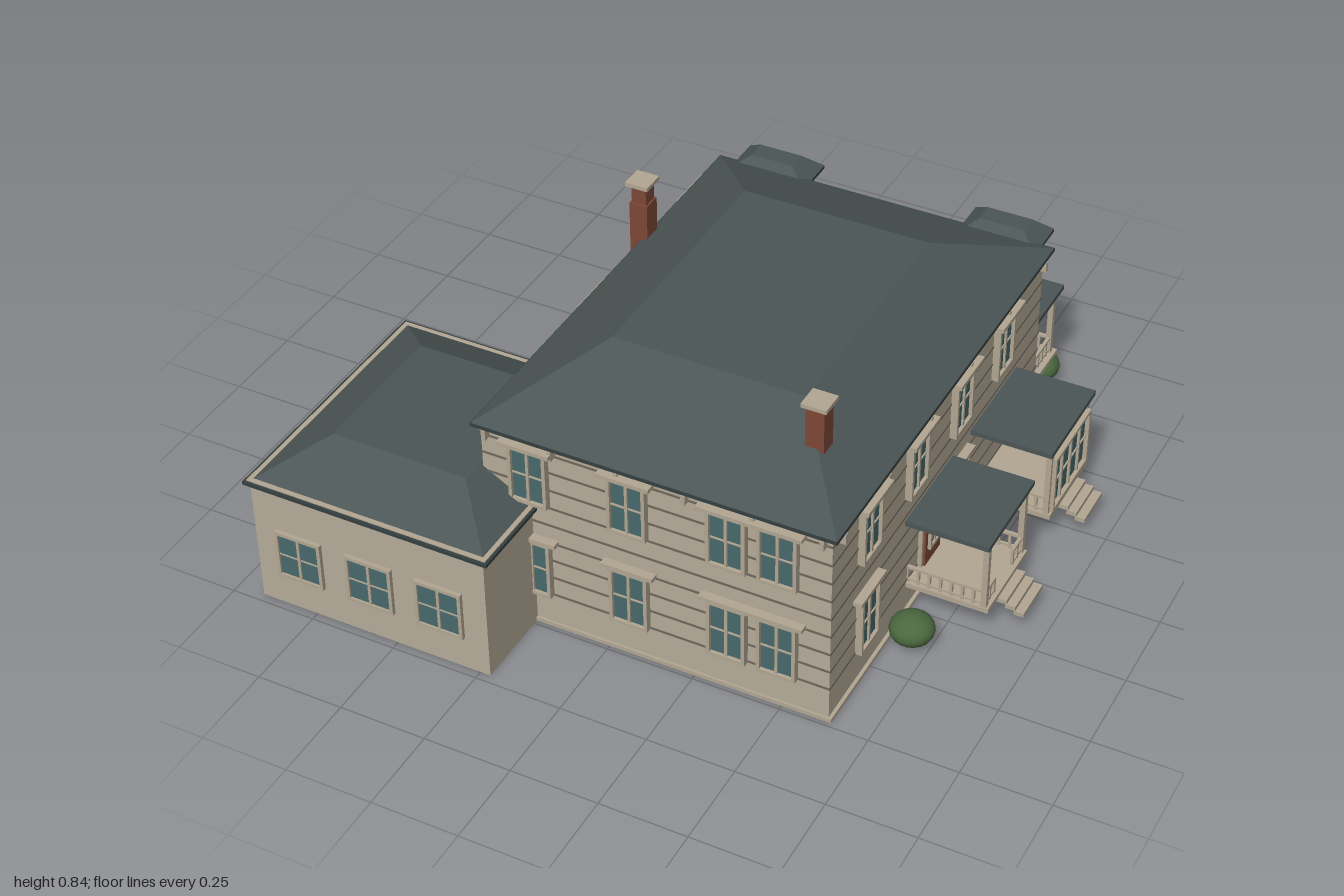
import * as THREE from 'three';

const mat = (name, color) => {
  const m = new THREE.MeshStandardMaterial({ color });
  m.name = name;
  return m;
};

export function createModel() {
  const house = new THREE.Group();
  house.name = 'house';
  const wall = mat('wall', 0xb5ab98), trim = mat('trim', 0xb3a793), seam = mat('boardSeam', 0x6e675a);
  const roof = mat('roof', 0x4c5656), edge = mat('eave', 0x364041), glass = mat('glass', 0x47696b);
  const brick = mat('brick', 0x7d4837), leaf = mat('leaf', 0x4a683f);

  const add = (parent, name, geo, m) => {
    const mesh = new THREE.Mesh(geo, m);
    mesh.name = name;
    parent.add(mesh);
    return mesh;
  };
  // Box given by its min and max corners
  const box = (parent, name, m, x0, x1, y0, y1, z0, z1) => {
    const b = add(parent, name, new THREE.BoxGeometry(x1 - x0, y1 - y0, z1 - z0), m);
    b.position.set((x0 + x1) / 2, (y0 + y1) / 2, (z0 + z1) / 2);
    return b;
  };
  const group = (name, x, y, z, turn = 0, parent = house) => {
    const g = new THREE.Group();
    g.name = name;
    g.position.set(x, y, z);
    g.rotation.y = turn;
    parent.add(g);
    return g;
  };
  // Hipped roof: a box whose top face is pulled in to a smaller rectangle
  const hip = (parent, name, [x0, x1, z0, z1], [a0, a1, c0, c1], y0, y1) => {
    const geo = new THREE.BoxGeometry(1, 1, 1), p = geo.attributes.position;
    for (let i = 0; i < p.count; i++) {
      const up = p.getY(i) > 0, r = p.getX(i) > 0, f = p.getZ(i) > 0;
      p.setXYZ(i, up ? (r ? a1 : a0) : (r ? x1 : x0), up ? y1 : y0, up ? (f ? c1 : c0) : (f ? z1 : z0));
    }
    geo.computeVertexNormals();
    return add(parent, name, geo, roof);
  };
  // Window facing local +z: frame bars, glass, muntins, sill and hood
  const win = (x, y, z, turn, w = 0.11, h = 0.18, { cols = 2, rows = 2, hood = 0, depth = 0.02, parent = house } = {}) => {
    const g = group('window', x, y, z, turn, parent), t = 0.01, W = w / 2, H = h / 2;
    box(g, 'windowGlass', glass, -W + t, W - t, -H + t, H - t, 0, depth * 0.5);
    for (const s of [-1, 1]) {
      box(g, 'frameSide', trim, s * (W - t / 2) - t / 2, s * (W - t / 2) + t / 2, -H, H, 0, depth);
      box(g, 'frameRail', trim, -W, W, s * (H - t / 2) - t / 2, s * (H - t / 2) + t / 2, 0, depth);
    }
    for (let i = 1; i < cols; i++) {
      const c = -W + (w * i) / cols;
      box(g, 'mullion', trim, c - 0.004, c + 0.004, -H, H, 0, depth * 0.8);
    }
    for (let i = 1; i < rows; i++) {
      const c = -H + (h * i) / rows;
      box(g, 'muntin', trim, -W, W, c - 0.002, c + 0.002, 0, depth * 0.7);
    }
    if (hood) box(g, 'hood', trim, -W - 0.02, W + 0.02, H, H + 0.012, 0, hood);
    return g;
  };
  const door = (x, y, z, turn, w, h) => {
    const g = group('door', x, y, z, turn);
    box(g, 'doorFrame', trim, -w / 2 - 0.01, w / 2 + 0.01, 0, h + 0.01, 0, 0.012);
    box(g, 'doorLeaf', brick, -w / 2, w / 2, 0, h, 0, 0.018);
    win(0, h * 0.6, 0.015, 0, w * 0.72, h * 0.66, { depth: 0.012, parent: g });
  };
  // Railing along local x from 0 to len
  const railing = (x, y, z, turn, len) => {
    const g = group('railing', x, y, z, turn);
    box(g, 'topRail', trim, 0, len, 0.045, 0.053, -0.005, 0.005);
    box(g, 'bottomRail', trim, 0, len, 0.006, 0.012, -0.004, 0.004);
    const n = Math.max(2, Math.round(len / 0.03));
    for (let i = 0; i <= n; i++) {
      const c = (len * i) / n;
      box(g, 'baluster', trim, c - 0.004, c + 0.004, 0, 0.048, -0.004, 0.004);
    }
  };
  const post = (x, y0, y1, z) => box(house, 'post', trim, x - 0.008, x + 0.008, y0, y1, z - 0.008, z + 0.008);
  // Steps descending along local +z
  const steps = (x, y, z, turn, w, n, run, rise) => {
    const g = group('steps', x, y, z, turn);
    for (let i = 0; i < n; i++) box(g, 'step', trim, -w / 2, w / 2, -rise * (i + 1), -rise * i, run * i - 0.004, run * (i + 1));
  };
  const F = 0, R = Math.PI / 2, B = Math.PI, L = -Math.PI / 2;

  // Main block with plinth, board seams, cornice and hipped roof
  box(house, 'mainWalls', wall, -0.36, 0.63, 0, 0.605, -0.61, 0.73);
  box(house, 'plinth', trim, -0.367, 0.64, 0, 0.012, -0.62, 0.737);
  for (let y = 0.105; y < 0.58; y += 0.0585)
    box(house, 'boardSeam', seam, -0.362, 0.632, y, y + 0.006, -0.612, 0.732);
  box(house, 'cornice', trim, -0.366, 0.636, 0.59, 0.606, -0.616, 0.736);
  box(house, 'eave', edge, -0.38, 0.65, 0.605, 0.615, -0.64, 0.75);
  hip(house, 'mainRoof', [-0.38, 0.65, -0.64, 0.75], [-0.14, 0.41, -0.32, 0.43], 0.614, 0.755);
  for (let i = 0; i < 6; i++) {
    const z = -0.58 + i * 0.256, x = -0.34 + i * 0.19;
    for (const s of [-0.367, 0.637]) box(house, 'bracket', trim, s - 0.016, s + 0.016, 0.575, 0.605, z - 0.006, z + 0.006);
    for (const s of [-0.617, 0.737]) box(house, 'bracket', trim, x - 0.006, x + 0.006, 0.575, 0.605, s - 0.016, s + 0.016);
  }

  // Wing
  box(house, 'wingWalls', wall, -0.92, -0.22, 0, 0.385, 0.21, 0.975);
  box(house, 'wingEave', edge, -0.938, -0.205, 0.378, 0.388, 0.192, 0.985);
  box(house, 'wingGutter', trim, -0.93, -0.213, 0.38, 0.391, 0.2, 0.977);
  hip(house, 'wingRoof', [-0.922, -0.221, 0.208, 0.969], [-0.77, -0.37, 0.37, 0.8], 0.388, 0.475);
  for (const x of [-0.785, -0.57, -0.36]) win(x, 0.177, 0.975, F, 0.14, 0.15, { depth: 0.012 });
  for (const z of [0.37, 0.58, 0.79]) win(-0.92, 0.177, z, L, 0.14, 0.15, { depth: 0.016 });

  // Main windows on front and both sides
  for (const [y, hood] of [[0.495, 0.035], [0.195, 0.025]]) {
    for (const x of [-0.22, 0.065, 0.345, 0.487]) win(x, y, 0.73, F, 0.11, 0.18, { hood });
    for (const z of [0.525, 0.24, -0.045, -0.325])
      if (y > 0.4 || z === 0.525 || z === -0.045) win(0.63, y, z, R, 0.11, 0.18, { hood });
    for (const z of [-0.475, 0.095]) win(-0.36, y, z, L, 0.11, 0.18, { hood });
  }

  // Back porch
  box(house, 'porchDeck', trim, -0.33, 0.6, 0.085, 0.1, -0.87, -0.61);
  box(house, 'porchBeam', trim, -0.32, 0.59, 0.3, 0.316, -0.857, -0.843);
  box(house, 'porchRoof', roof, -0.33, 0.605, 0.315, 0.33, -0.87, -0.61);
  for (const x of [-0.31, 0.01, 0.3, 0.58]) post(x, 0.1, 0.315, -0.85);
  railing(-0.31, 0.1, -0.85, 0, 0.32);
  railing(0.3, 0.1, -0.85, 0, 0.28);
  for (const x of [-0.31, 0.58]) railing(x, 0.1, -0.62, R, 0.23);
  steps(0.155, 0.085, -0.87, B, 0.27, 4, 0.0325, 0.013);
  door(0.14, 0.1, -0.61, B, 0.1, 0.18);
  for (const x of [-0.2, 0.47]) win(x, 0.2, -0.61, B, 0.11, 0.17);

  // Balcony door and lattice panel above the back porch
  door(0.14, 0.33, -0.61, B, 0.1, 0.23);
  const lattice = group('balconyLattice', 0.155, 0.33, -0.85);
  for (let i = 0; i <= 6; i++) box(lattice, 'slat', trim, -0.087 + i * 0.028, -0.081 + i * 0.028, 0, 0.075, -0.004, 0.004);
  for (const y of [0.005, 0.037, 0.069]) box(lattice, 'latticeRail', trim, -0.087, 0.087, y, y + 0.006, -0.004, 0.004);

  // Upper bay windows at the back
  for (const x of [-0.215, 0.49]) {
    const bay = group('bayWindow', x, 0.33, -0.61, B);
    const plan = new THREE.Shape([[-0.105, 0], [0.105, 0], [0.06, 0.11], [-0.06, 0.11]].map(p => new THREE.Vector2(...p)));
    const body = add(bay, 'bayWalls', new THREE.ExtrudeGeometry(plan, { depth: 0.27, bevelEnabled: false }), wall);
    body.rotation.x = Math.PI / 2;
    body.position.y = 0.27;
    const opts = { parent: bay, depth: 0.008 };
    win(0, 0.155, 0.11, 0, 0.1, 0.19, opts);
    const a = Math.atan2(0.11, 0.045);
    for (const s of [-1, 1]) win(s * 0.0825, 0.155, 0.055, s * a, 0.1, 0.19, { ...opts, cols: 1 });
    box(bay, 'bayEave', edge, -0.118, 0.118, 0.265, 0.275, -0.01, 0.13);
    hip(bay, 'bayRoof', [-0.118, 0.118, -0.01, 0.13], [-0.065, 0.065, 0.03, 0.09], 0.275, 0.315);
  }

  // Two side porches
  for (const [z0, z1] of [[-0.455, -0.14], [-0.02, 0.285]]) {
    const a = z0 + 0.03, b = z1 - 0.03, mid = (z0 + z1) / 2;
    box(house, 'sideDeck', trim, 0.63, 0.865, 0.085, 0.1, a - 0.01, b + 0.01);
    box(house, 'sideRoof', roof, 0.63, 0.865, 0.31, 0.325, z0, z1);
    box(house, 'sideBeam', trim, 0.63, 0.858, 0.295, 0.31, a - 0.008, b + 0.008);
    for (const z of [a, b]) {
      post(0.85, 0.1, 0.3, z);
      railing(0.63, 0.1, z, 0, 0.22);
    }
    steps(0.865, 0.087, mid, R, 0.13, 3, 0.025, 0.013);
  }
  win(0.845, 0.195, -0.297, R, 0.25, 0.18, { cols: 4, depth: 0.024 });
  door(0.63, 0.1, 0.132, R, 0.1, 0.18);
  railing(0.85, 0.1, 0.255, R, 0.06);
  railing(0.85, 0.1, 0.07, R, 0.06);

  // Chimneys
  box(house, 'tallChimney', brick, -0.412, -0.358, 0, 0.73, -0.217, -0.16);
  box(house, 'tallChimneyNeck', brick, -0.407, -0.363, 0.73, 0.785, -0.212, -0.165);
  box(house, 'chimneyCap', trim, -0.42, -0.352, 0.785, 0.797, -0.223, -0.153);
  box(house, 'roofChimney', brick, 0.464, 0.516, 0.62, 0.825, 0.496, 0.548);
  box(house, 'chimneyCap', trim, 0.455, 0.525, 0.825, 0.837, 0.487, 0.557);

  // Shrubs
  for (const [x, z] of [[0.7, 0.375], [-0.36, -0.83], [0.56, -0.83]]) {
    const s = add(house, 'shrub', new THREE.SphereGeometry(0.062, 18, 12), leaf);
    s.position.set(x, 0.058, z);
    s.scale.y = 0.7;
  }
  return house;
}
